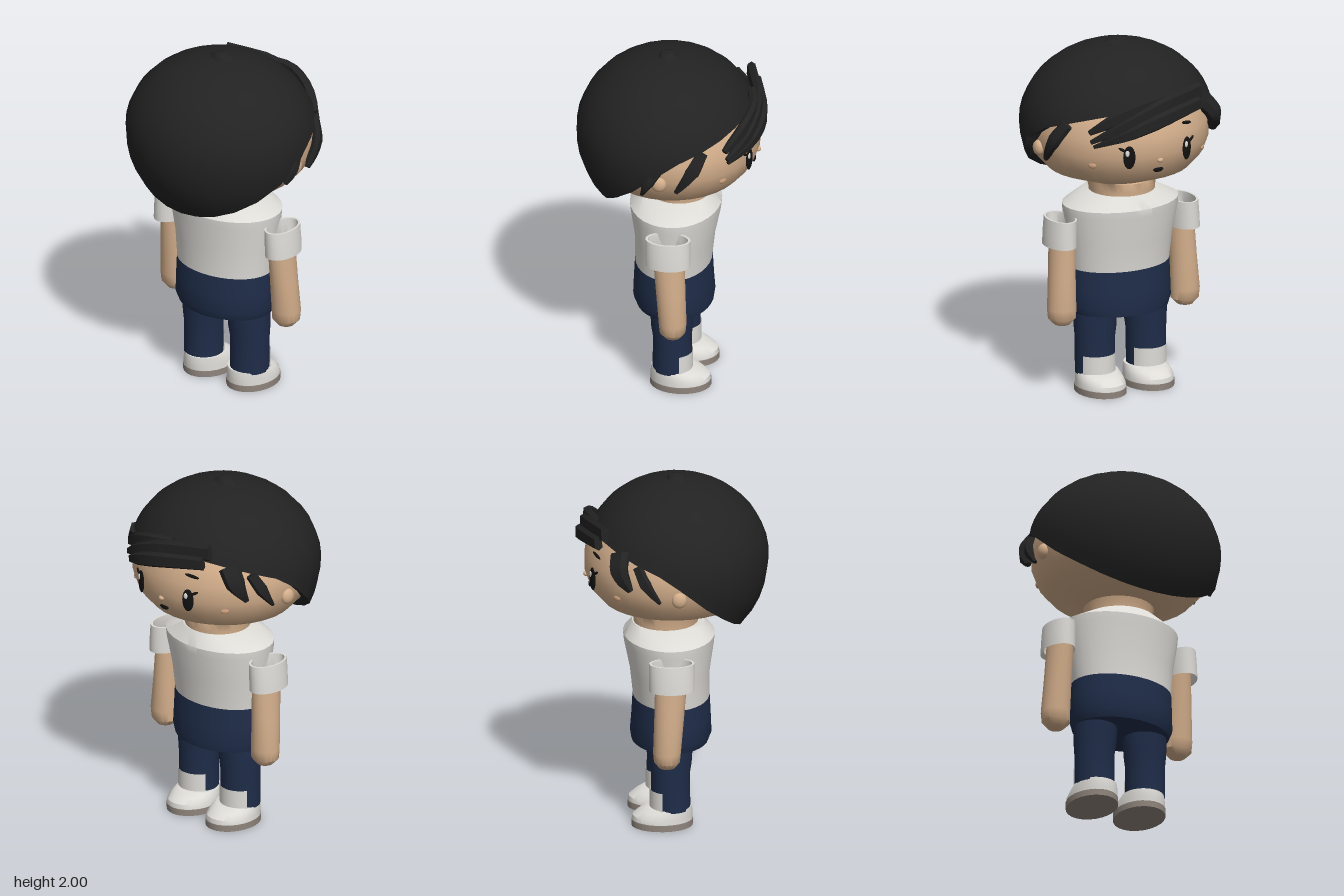
import * as THREE from 'three';
import { toCreasedNormals } from 'three/addons/utils/BufferGeometryUtils.js';

const mat = (name, color, side = THREE.FrontSide) => {
  const m = new THREE.MeshStandardMaterial({ color, side });
  m.name = name;
  return m;
};

// Skin a surface over closed rows of points, listed bottom to top
function skin(rows, crease = 0.7) {
  const n = rows[0].length, pos = [], idx = [];
  rows.forEach(r => r.forEach(p => pos.push(p.x, p.y, p.z)));
  for (let i = 0; i < rows.length - 1; i++) {
    for (let j = 0; j < n; j++) {
      const a = i * n + j, b = i * n + (j + 1) % n;
      idx.push(a, b, a + n, b, b + n, a + n);
    }
  }
  const g = new THREE.BufferGeometry();
  g.setAttribute('position', new THREE.Float32BufferAttribute(pos, 3));
  g.setIndex(idx);
  return toCreasedNormals(g, crease);
}

// Elliptical rings: [y, centreX, centreZ, radiusX, radiusZ]
function loft(rings, n = 28, crease) {
  return skin(rings.map(([y, cx, cz, rx, rz]) => Array.from({ length: n }, (_, j) => {
    const a = j / n * Math.PI * 2;
    return new THREE.Vector3(cx + rx * Math.sin(a), y, cz + rz * Math.cos(a));
  })), crease);
}

// Piecewise linear lookup in [key, value] pairs with rising keys
function lookup(table, k) {
  let i = 0;
  while (i < table.length - 2 && k > table[i + 1][0]) i++;
  const [k0, v0] = table[i], [k1, v1] = table[i + 1];
  return v0 + (v1 - v0) * (k - k0) / (k1 - k0);
}

const E = 0.0005;

// Hair cap: ellipsoid ending on a rim that rises towards the face
function hairCap() {
  const rim = [[-0.43, 1.71], [-0.1, 1.585], [0, 1.52], [0.1, 1.43], [0.28, 1.27], [0.39, 1.15]];
  const at = (phi, t) => new THREE.Vector3(
    0.545 * Math.sin(t) * Math.sin(phi),
    1.53 + Math.cos(t) * (Math.cos(t) > 0 ? 0.445 : 0.54),
    0.025 + 0.508 * Math.sin(t) * Math.cos(phi));
  const n = 24, steps = 14, centre = new THREE.Vector3(0, 1.53, 0.02);
  const ends = Array.from({ length: n }, (_, j) => {
    const phi = j / n * Math.PI * 2;
    let lo = 0.1, hi = 2.6;
    for (let k = 0; k < 30; k++) {
      const mid = (lo + hi) / 2, p = at(phi, mid);
      if (p.y > lookup(rim, p.z)) lo = mid; else hi = mid;
    }
    return [phi, lo];
  });
  const rows = [ends.map(([p, t]) => at(p, t).lerp(centre, 0.1))];
  for (let i = steps; i >= 0; i--) rows.push(ends.map(([p, t]) => at(p, Math.max(t * i / steps, 0.001))));
  return skin(rows, 0.8);
}

// Flat tapering lock of hair lying on the head
function lock(points, widths, thick = 0.022) {
  const curve = new THREE.CatmullRomCurve3(points.map(p => new THREE.Vector3(...p)));
  const steps = 8, rows = [];
  const table = widths.map((w, i) => [i / (widths.length - 1), w]);
  for (let i = -1; i <= steps + 1; i++) {
    const t = Math.min(Math.max(i / steps, 0), 1), c = curve.getPoint(t), tan = curve.getTangent(t);
    const out = new THREE.Vector3(c.x, 0, c.z).normalize();
    const side = new THREE.Vector3().crossVectors(out, tan).normalize();
    out.crossVectors(tan, side);
    const w = (i < 0 || i > steps) ? E : lookup(table, t);
    const h = Math.min(thick, w);
    rows.push([[1, 0], [0.65, 1], [-0.65, 1], [-1, 0], [-0.65, -1], [0.65, -1]].map(([u, v]) =>
      c.clone().addScaledVector(side, -u * w).addScaledVector(out, -v * h)));
  }
  return skin(rows, 0.5);
}

export function createModel() {
  const model = new THREE.Group();
  const hair = mat('black hair', 0x222222, THREE.DoubleSide);
  const flesh = mat('skin', 0xd3ae8b);
  const white = mat('white cloth', 0xdedcd7, THREE.DoubleSide);
  const navy = mat('navy cloth', 0x1f2d49);
  const taupe = mat('taupe sole', 0x8f857c);
  const ink = mat('face black', 0x121212);
  const blush = mat('blush', 0xc99c7a);
  const add = (name, geo, m, parent = model) => {
    const mesh = new THREE.Mesh(geo, m);
    mesh.name = name;
    parent.add(mesh);
    return mesh;
  };

  // Head with neck
  const headProfile = [[1.22, 0.215], [1.285, 0.385], [1.36, 0.45], [1.45, 0.482], [1.55, 0.482],
    [1.64, 0.452], [1.7, 0.42], [1.78, 0.35], [1.87, 0.22], [1.91, E]];
  add('head', loft([[1.1, 0, -0.035, 0.185, 0.178], [1.16, 0, -0.035, 0.185, 0.178],
    [1.215, 0, -0.03, 0.195, 0.19],
    ...headProfile.map(([y, r]) => [y, 0, 0, r * 1.04, r])], 32, 0.9), flesh);

  // Hair cap, crown tuft and loose locks
  add('hairCap', hairCap(), hair);
  add('crownTuft', loft([[1.955, 0, 0.02, 0.12, 0.06], [1.978, 0, 0.025, 0.055, 0.05],
    [1.992, 0, 0.025, 0.04, 0.04], [2, 0, 0.025, E, E]], 16), hair);
  const locks = [
    [[[-0.29, 1.76, -0.39], [0, 1.725, -0.475], [0.2, 1.65, -0.46], [0.37, 1.55, -0.355]], [0.05, 0.05, 0.04, 0.012]],
    [[[-0.27, 1.70, -0.425], [0.02, 1.66, -0.505], [0.2, 1.60, -0.475], [0.35, 1.52, -0.355]], [0.04, 0.045, 0.035, 0.01]],
    [[[-0.05, 1.76, -0.43], [0.1, 1.74, -0.46], [0.25, 1.68, -0.42], [0.37, 1.60, -0.34]], [0.03, 0.04, 0.04, 0.015]],
    [[[-0.36, 1.67, -0.31], [-0.42, 1.59, -0.32], [-0.445, 1.48, -0.26]], [0.06, 0.055, 0.015], 0.035],
    [[[0.45, 1.63, -0.23], [0.505, 1.53, -0.18], [0.505, 1.40, -0.09]], [0.035, 0.042, 0.012]],
    [[[-0.44, 1.62, -0.22], [-0.485, 1.53, -0.18], [-0.49, 1.42, -0.10]], [0.03, 0.035, 0.01]],
    [[[0.5, 1.55, -0.01], [0.525, 1.46, 0.06], [0.50, 1.37, 0.1]], [0.025, 0.032, 0.01]],
  ];
  locks.forEach(([pts, w, h], i) => add(i < 3 ? 'fringeLock' : 'sideLock', lock(pts, w, h), hair));

  // Face details: flattened domes set on the head, which looks towards -z
  const ball = new THREE.SphereGeometry(1, 16, 12);
  const onFace = (name, x, y, w, h, m, depth = 0.009, tilt = 0, lift = 0) => {
    const r = lookup(headProfile, y);
    const z = -r * Math.sqrt(1 - (x / (r * 1.04)) ** 2);
    const len = Math.hypot(x, z), holder = new THREE.Group();
    holder.name = name + 'Holder';
    holder.position.set(x * (1 + lift / len), y, z * (1 + lift / len));
    holder.rotation.y = Math.atan2(x, z);
    model.add(holder);
    const mesh = add(name, ball, m, holder);
    mesh.scale.set(w, h, depth);
    mesh.rotation.z = tilt;
  };
  for (const s of [-1, 1]) {
    onFace('eye', s * 0.18, 1.46, 0.034, 0.066, ink);
    onFace('eyeShine', s * 0.18 + 0.01, 1.485, 0.012, 0.018, white, 0.005, 0, 0.007);
    onFace('eyelash', s * 0.215, 1.505, 0.026, 0.008, ink, 0.008, -s * 0.5);
    onFace('eyebrow', s * 0.19, 1.6, 0.042, 0.01, ink, 0.008, s * 0.2);
    onFace('cheek', s * 0.345, 1.405, 0.024, 0.016, blush, 0.009);
    const ear = add('ear', ball, flesh);
    ear.position.set(s * 0.5, 1.44, 0.005);
    ear.scale.set(0.028, 0.045, 0.042);
  }
  onFace('nose', 0, 1.425, 0.018, 0.014, flesh, 0.016);
  onFace('mouth', 0, 1.365, 0.032, 0.014, ink);

  // Shirt and hips
  add('shirt', loft([[0.71, 0, -0.005, E, E], [0.71, 0, -0.005, 0.292, 0.21], [0.87, 0, -0.012, 0.308, 0.22],
    [1.03, 0, -0.017, 0.335, 0.248], [1.075, 0, -0.017, 0.338, 0.252],
    [1.145, 0, -0.02, 0.205, 0.2], [1.145, 0, -0.02, E, E]], 32), white);
  add('hips', loft([[0.455, 0, -0.012, E, E], [0.455, 0, -0.012, 0.283, 0.212], [0.5, 0, -0.007, 0.3, 0.224],
    [0.6, 0, -0.005, 0.298, 0.218], [0.712, 0, -0.005, 0.294, 0.212], [0.712, 0, -0.005, E, E]], 32), navy);

  for (const s of [-1, 1]) {
    // Arm with rounded hand
    add('arm', loft([[0.405, s * 0.385, -0.055, E, E], [0.42, s * 0.385, -0.055, 0.045, 0.045],
      [0.455, s * 0.385, -0.055, 0.08, 0.072], [0.51, s * 0.387, -0.055, 0.083, 0.077],
      [0.7, s * 0.38, -0.043, 0.075, 0.082], [0.9, s * 0.372, -0.032, 0.07, 0.088],
      [0.9, s * 0.372, -0.032, E, E]], 20), flesh);
    // Open rolled sleeve
    add('sleeve', loft([[0.89, s * 0.385, -0.028, 0.07, 0.105], [0.87, s * 0.387, -0.028, 0.084, 0.125],
      [0.94, s * 0.385, -0.028, 0.083, 0.125], [1.027, s * 0.38, -0.028, 0.079, 0.125],
      [1.027, s * 0.38, -0.028, 0.067, 0.112], [0.89, s * 0.385, -0.028, 0.07, 0.105]], 24), white);
    // Trouser leg
    add('leg', loft([[0.1, s * 0.16, -0.02, 0.11, 0.11], [0.3, s * 0.16, -0.02, 0.112, 0.107],
      [0.36, s * 0.158, -0.018, 0.118, 0.115], [0.47, s * 0.156, -0.016, 0.122, 0.12]], 24), navy);
    // Sock showing at the front of the ankle
    const sock = add('sock', new THREE.CylinderGeometry(0.114, 0.114, 0.115, 12, 1, true, Math.PI - 1.1, 2.2), white);
    sock.position.set(s * 0.16, 0.157, -0.02);
    // Shoe and sole
    const x = s * 0.15;
    add('sole', loft([[0, x, -0.065, E, E], [0, x, -0.065, 0.136, 0.17],
      [0.036, x, -0.065, 0.136, 0.17], [0.036, x, -0.065, E, E]], 24), taupe);
    add('shoe', loft([[0.036, x, -0.065, 0.133, 0.167], [0.062, x, -0.063, 0.131, 0.165],
      [0.09, x, -0.045, 0.125, 0.146], [0.112, x, -0.025, 0.117, 0.122], [0.112, x, -0.025, E, E]], 24), white);
  }
  return model;
}
